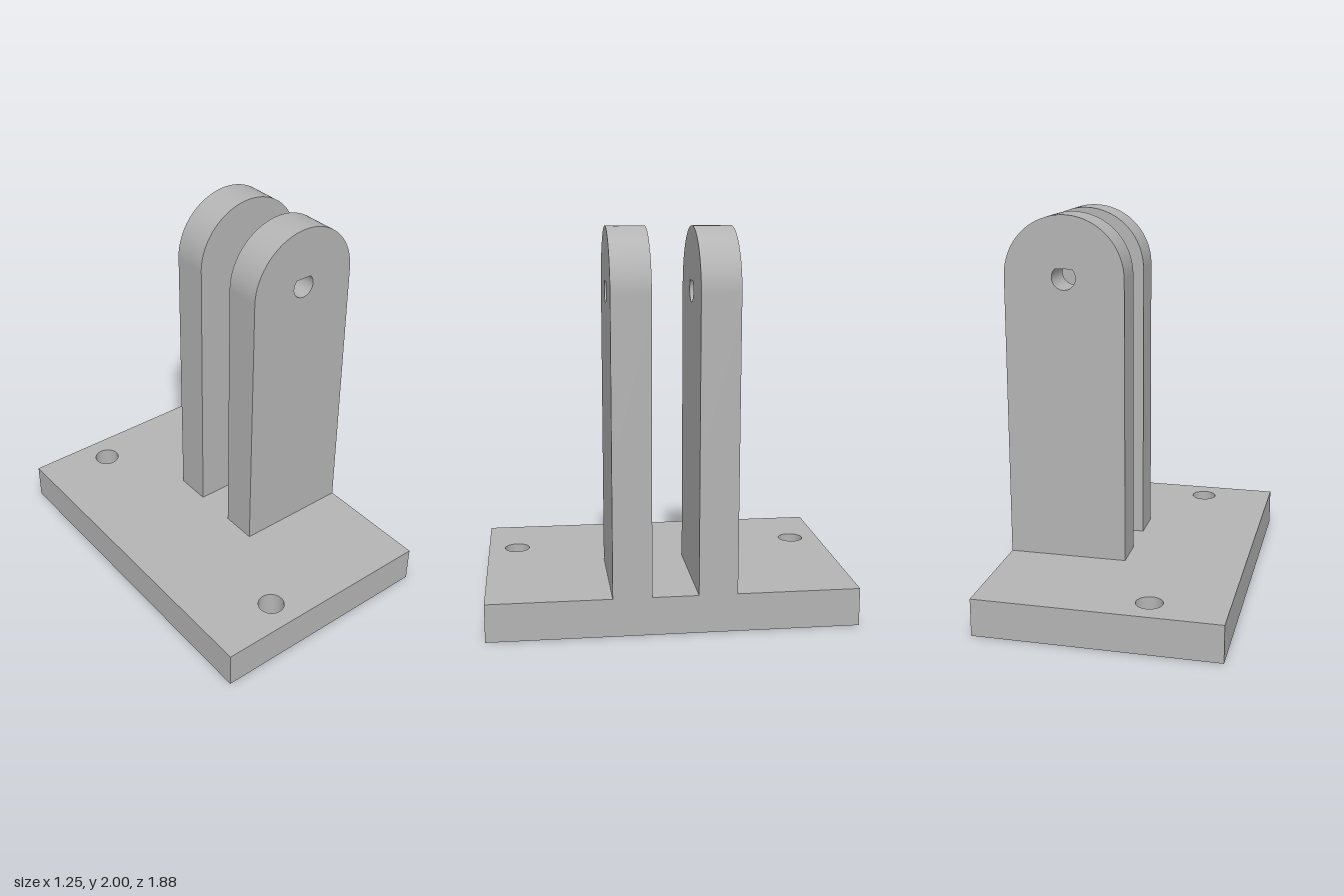
import * as THREE from 'three';
import { toCreasedNormals } from 'three/addons/utils/BufferGeometryUtils.js';

const W = 0.627, D = 0.94, BASE_H = 0.196;   // base half width, half depth, height
const R = W / 2, TOP = 2;                    // ear radius and overall height
const EAR_T = 0.196, EAR_Z = 0.215;          // ear thickness and centre offset

// Extrude a shape with smooth curves and sharp edges
function extrude(shape, depth) {
  const g = new THREE.ExtrudeGeometry(shape, { depth, bevelEnabled: false, curveSegments: 40 });
  return toCreasedNormals(g, 0.5);
}

// Base plate with two screw holes
function basePlate() {
  const s = new THREE.Shape();
  s.moveTo(-W, -D).lineTo(W, -D).lineTo(W, D).lineTo(-W, D).closePath();
  for (const side of [-1, 1]) {
    s.holes.push(new THREE.Path().absarc(-0.235, side * 0.784, 0.068, 0, Math.PI * 2, true));
  }
  return extrude(s, BASE_H).rotateX(-Math.PI / 2);
}

// Upright ear with a round top and a teardrop pivot hole
function ear() {
  const cy = TOP - R, r = 0.0625;
  const s = new THREE.Shape();
  s.moveTo(0, BASE_H).lineTo(W, BASE_H).lineTo(W, cy);
  s.absarc(R, cy, R, 0, Math.PI, false);
  s.closePath();
  const hole = new THREE.Path();
  hole.moveTo(R, cy + r * Math.SQRT2);
  hole.absarc(R, cy, r, Math.PI * 0.75, Math.PI * 2.25, false);
  hole.closePath();
  s.holes.push(hole);
  return extrude(s, EAR_T).translate(0, 0, -EAR_T / 2);
}

export function createModel() {
  const grey = new THREE.MeshStandardMaterial({ color: 0xb4b4b4 });
  grey.name = 'grey';
  const model = new THREE.Group();
  model.name = 'hingeBracket';

  const base = new THREE.Mesh(basePlate(), grey);
  base.name = 'basePlate';
  model.add(base);

  const earGeometry = ear();
  for (const [name, side] of [['frontEar', 1], ['backEar', -1]]) {
    const mesh = new THREE.Mesh(earGeometry, grey);
    mesh.name = name;
    mesh.position.z = side * EAR_Z;
    model.add(mesh);
  }
  return model;
}
